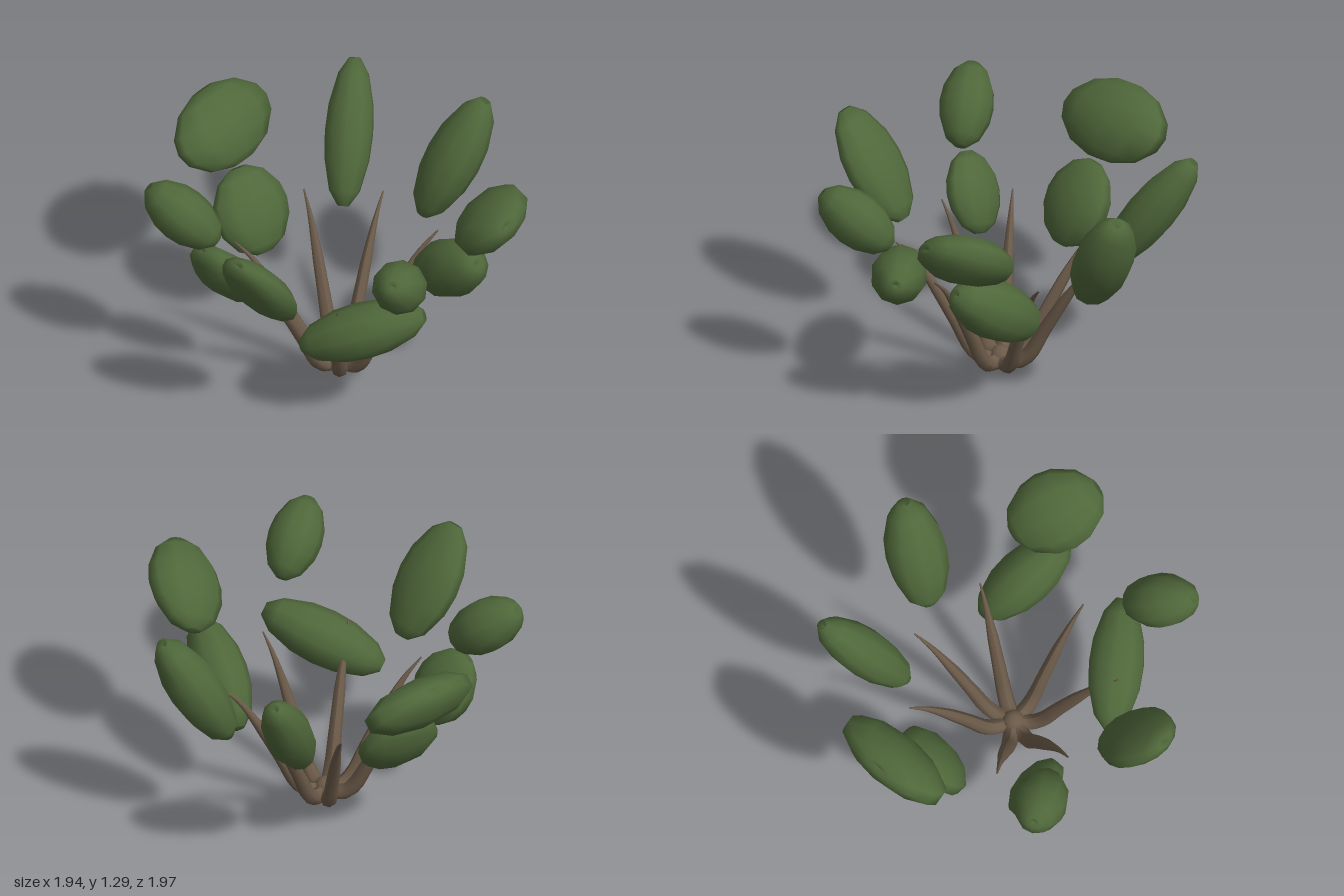
import * as THREE from 'three';

const leafGreen = new THREE.MeshStandardMaterial({ color: 0x4f673a });
leafGreen.name = 'leafGreen';
const barkBrown = new THREE.MeshStandardMaterial({ color: 0x6b5a49 });
barkBrown.name = 'barkBrown';

const rad = THREE.MathUtils.degToRad;

// Foliage clumps: centre, heading, elevation and roll of the long axis (degrees),
// then half length, half width and half thickness
const CLUMPS = [
  { at: [-0.44, 1.10, -0.70], turn: [-138, 50, -4], size: [0.215, 0.325, 0.12] },
  { at: [-0.33, 0.70, -0.48], turn: [-154, 59, 0], size: [0.235, 0.215, 0.10] },
  { at: [0.23, 0.93, -0.75], turn: [162, 55, 0], size: [0.39, 0.125, 0.125] },
  { at: [0.715, 0.96, -0.40], turn: [102, 61, 0], size: [0.365, 0.16, 0.135] },
  { at: [0.60, 0.667, 0.145], turn: [24, 35, 0], size: [0.316, 0.145, 0.155] },
  { at: [0.78, 1.09, 0.335], turn: [11.4, 27.4, 35], size: [0.267, 0.221, 0.124] },
  { at: [0.07, 0.622, 0.54], turn: [75, 20.5, 0], size: [0.345, 0.145, 0.145] },
  { at: [0.22, 1.067, 0.795], turn: [-22, 37, 0], size: [0.23, 0.14, 0.14] },
  { at: [-0.47, 0.973, 0.56], turn: [-47, 54.5, 0], size: [0.328, 0.19, 0.10] },
  { at: [-0.775, 1.088, 0.01], turn: [-111.5, 39, 0], size: [0.235, 0.14, 0.14] },
  { at: [-0.56, 0.69, 0.02], turn: [-85, 55, 35], size: [0.218, 0.18, 0.095] },
];

// Stem tips (x, z) around the root
const ROOT = [0.05, 0];
const TIPS = [
  [-0.04, -0.56], [0.36, -0.47], [0.58, -0.09], [0.38, 0.42],
  [-0.06, 0.53], [-0.44, 0.21], [-0.47, -0.17],
];

// Faceted egg of unit radius with a small dimple at the upper pole
function clumpGeometry() {
  const profile = [
    [0, -0.97], [0.24, -0.98], [0.65, -0.78], [0.95, -0.36], [1.02, 0],
    [0.95, 0.36], [0.65, 0.78], [0.24, 0.99], [0, 0.9],
  ].map(([r, y]) => new THREE.Vector2(r, y));
  return new THREE.LatheGeometry(profile, 10);
}

// Curved stem that runs out from the root, bends up and tapers to a point
function stemGeometry([tx, tz]) {
  const path = [[0, 0.05], [0.16, 0.05], [0.27, 0.1], [0.43, 0.27], [0.66, 0.5], [0.84, 0.65], [1, 0.74]];
  const curve = new THREE.CatmullRomCurve3(path.map(([f, y]) =>
    new THREE.Vector3(ROOT[0] + (tx - ROOT[0]) * f, y, ROOT[1] + (tz - ROOT[1]) * f)));
  const steps = 18, sides = 8;
  const geometry = new THREE.TubeGeometry(curve, steps, 1, sides);
  const position = geometry.attributes.position;
  const v = new THREE.Vector3();
  for (let i = 0; i <= steps; i++) {
    const t = i / steps;
    const radius = t > 0.6 ? THREE.MathUtils.lerp(0.03, 0.004, (t - 0.6) / 0.4)
      : THREE.MathUtils.lerp(0.045, 0.03, t / 0.6);
    const centre = curve.getPointAt(t);
    for (let j = 0; j <= sides; j++) {
      const k = i * (sides + 1) + j;
      v.fromBufferAttribute(position, k).sub(centre).multiplyScalar(radius).add(centre);
      position.setXYZ(k, v.x, v.y, v.z);
    }
  }
  geometry.computeVertexNormals();
  return geometry;
}

export function createModel() {
  const model = new THREE.Group();
  model.name = 'bush';

  // Stems and the knob where they meet
  const stems = new THREE.Group();
  stems.name = 'stems';
  TIPS.forEach((tip, i) => {
    const stem = new THREE.Mesh(stemGeometry(tip), barkBrown);
    stem.name = `stem${i + 1}`;
    stems.add(stem);
  });
  const knob = new THREE.Mesh(new THREE.SphereGeometry(0.06, 10, 8), barkBrown);
  knob.name = 'rootKnob';
  knob.position.set(ROOT[0], 0.06, ROOT[1]);
  stems.add(knob);
  model.add(stems);

  // Leaf clumps
  const foliage = new THREE.Group();
  foliage.name = 'foliage';
  const geometry = clumpGeometry();
  CLUMPS.forEach(({ at, turn: [heading, elevation, roll], size: [length, width, thick] }, i) => {
    const clump = new THREE.Mesh(geometry, leafGreen);
    clump.name = `leafClump${i + 1}`;
    clump.position.set(...at);
    clump.rotation.set(rad(90 - elevation), rad(heading), 0, 'YXZ');
    clump.rotateY(rad(roll));
    clump.scale.set(width, length, thick);
    foliage.add(clump);
  });
  model.add(foliage);

  return model;
}
